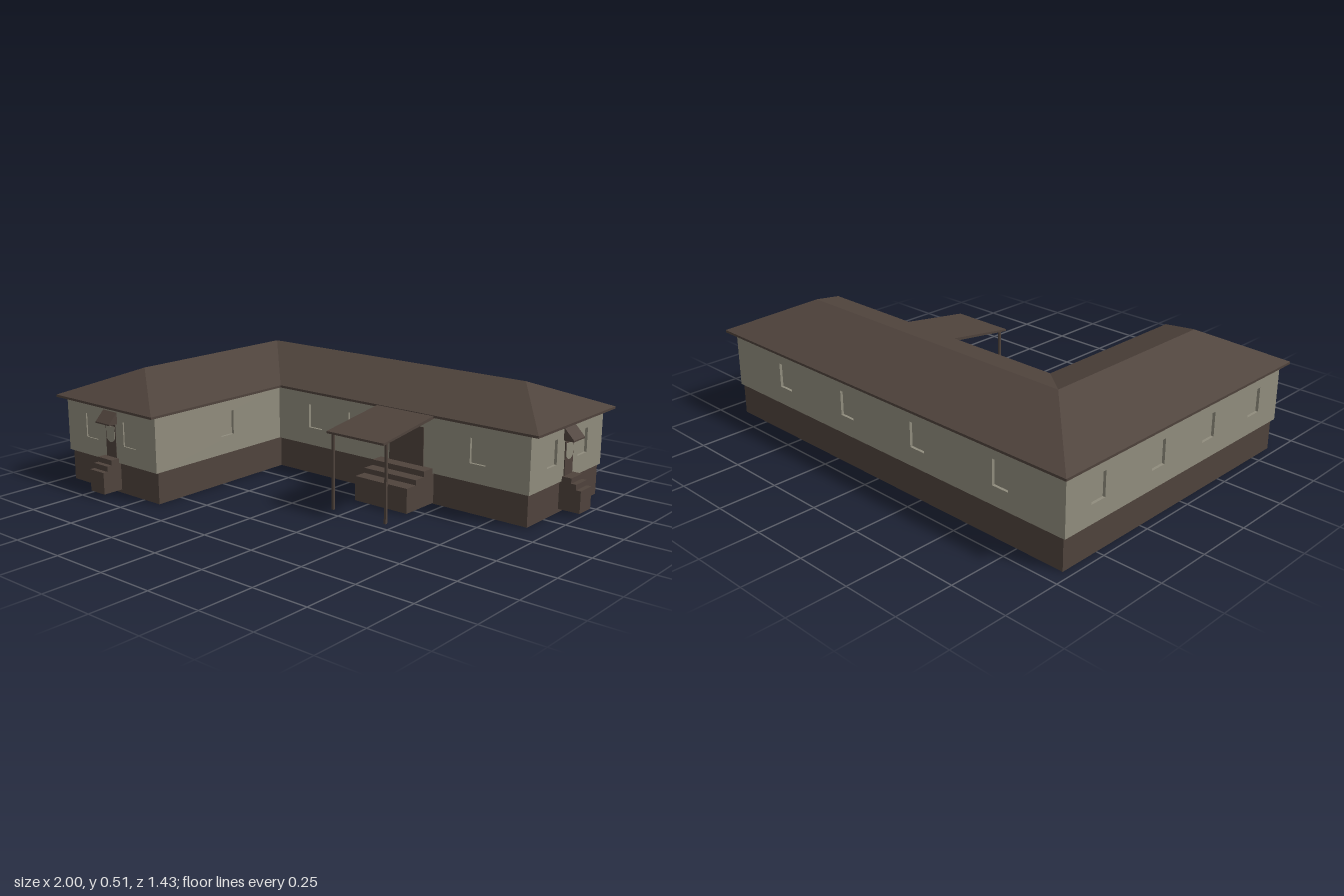
import * as THREE from 'three';

const mat = (name, color) => Object.assign(new THREE.MeshStandardMaterial({ color }), { name });

export function createModel() {
  const wallPaint = mat('wall grey', 0x908c7d);
  const brown = mat('dark brown', 0x4f433c);

  const model = new THREE.Group();
  model.name = 'house';

  const add = (parent, name, geometry, material, x = 0, y = 0, z = 0) => {
    const mesh = new THREE.Mesh(geometry, material);
    mesh.name = name;
    mesh.position.set(x, y, z);
    parent.add(mesh);
    return mesh;
  };
  const box = (w, h, d) => new THREE.BoxGeometry(w, h, d);
  const rect = (x0, y0, x1, y1) =>
    [[x0, y0], [x1, y0], [x1, y1], [x0, y1]].map(p => new THREE.Vector2(...p));

  // L-shaped plan: west, inner wing wall, east; back, inner front, wing front
  const plan = (x0, x1, x2, z0, z1, z2) =>
    [[x0, z0], [x0, z2], [x1, z2], [x1, z1], [x2, z1], [x2, z0]].map(p => new THREE.Vector2(...p));

  // One panel per side of a plan; windows are given as x or z along each side
  const panels = (name, corners, bottom, top, t, material, windows = []) => {
    corners.forEach((a, i) => {
      const b = corners[(i + 1) % 6];
      const side = new THREE.Group();
      side.name = name;
      side.position.set(a.x, 0, a.y);
      side.rotation.y = Math.atan2(a.y - b.y, b.x - a.x);
      const shape = new THREE.Shape(rect(0, bottom, a.distanceTo(b), top));
      const recess = i === 1 ? 0.006 : 0.012;
      for (const c of windows[i] ?? []) {
        const u = Math.abs(c - (a.x === b.x ? a.y : a.x));
        shape.holes.push(new THREE.Path(rect(u - 0.038, 0.214, u + 0.038, 0.32).reverse()));
        add(side, 'window', box(0.076, 0.106, 0.006), wallPaint, u, 0.267, -recess - 0.003);
      }
      add(side, name + 'Panel', new THREE.ExtrudeGeometry(shape, { depth: t, bevelEnabled: false }),
        material, 0, 0, -t);
      model.add(side);
    });
  };

  panels('foundation', plan(-0.965, -0.407, 0.9, -0.68, -0.124, 0.62), 0, 0.137, 0.012, brown);
  panels('wall', plan(-0.977, -0.405, 0.91, -0.687, -0.113, 0.63), 0.135, 0.377, 0.024, wallPaint, [
    [-0.514, -0.172, 0.143, 0.456],
    [-0.815, -0.57],
    [0.22],
    [-0.188, 0.04, 0.67],
    [-0.278, -0.523],
    [0.57, 0.167, -0.243, -0.674],
  ]);

  // Hipped roof with a fascia and flat underside
  const eaves = plan(-1, -0.38, 0.95, -0.715, -0.095, 0.67);
  const low = eaves.map(p => [p.x, 0.376, p.y]);
  const up = eaves.map(p => [p.x, 0.386, p.y]);
  const [wingEnd, corner, mainEnd] = [[-0.69, 0.51, 0.43], [-0.69, 0.51, -0.405], [0.7, 0.51, -0.405]];
  const faces = [
    [up[0], up[1], wingEnd, corner], [up[1], up[2], wingEnd], [up[2], up[3], corner, wingEnd],
    [up[3], up[4], mainEnd, corner], [up[4], up[5], mainEnd], [up[5], up[0], corner, mainEnd],
    [low[3], low[2], low[1], low[0], low[5], low[4]],
  ];
  for (let i = 0; i < 6; i++) {
    const j = (i + 1) % 6;
    faces.push([low[i], low[j], up[j], up[i]]);
  }
  const verts = [];
  for (const f of faces)
    for (let i = 1; i < f.length - 1; i++) verts.push(...f[0], ...f[i], ...f[i + 1]);
  const roof = new THREE.BufferGeometry();
  roof.setAttribute('position', new THREE.Float32BufferAttribute(verts, 3));
  roof.computeVertexNormals();
  add(model, 'roof', roof, brown);

  // Side profile in (z, y), extruded across x and centred
  const prism = (points, width) =>
    new THREE.ExtrudeGeometry(new THREE.Shape(points.map(p => new THREE.Vector2(...p))),
      { depth: width, bevelEnabled: false }).rotateY(-Math.PI / 2).translate(width / 2, 0, 0);

  // Small entrance facing +z: steps, door with a round-bottomed pane, awning
  const entrance = (name, x, z, turn) => {
    const g = new THREE.Group();
    g.name = name;
    add(g, 'steps', prism([[-0.02, 0.015], [0.087, 0.015], [0.087, 0.11], [0.065, 0.11],
      [0.065, 0.133], [0.042, 0.133], [0.042, 0.155], [-0.02, 0.155]], 0.088), brown);
    add(g, 'door', box(0.064, 0.145, 0.032), brown, 0, 0.2275, -0.013);
    const pane = new THREE.Shape();
    pane.moveTo(-0.027, 0.29).lineTo(-0.027, 0.236);
    pane.quadraticCurveTo(0, 0.204, 0.027, 0.236);
    pane.lineTo(0.027, 0.29);
    add(g, 'doorPane', new THREE.ExtrudeGeometry(pane, { depth: 0.002, bevelEnabled: false }),
      wallPaint, 0, 0, 0.003);
    add(g, 'awning', prism([[-0.01, 0.305], [0.045, 0.305], [0.045, 0.311], [0, 0.357], [-0.01, 0.357]], 0.088),
      brown);
    g.position.set(x, 0, z);
    g.rotation.y = turn;
    model.add(g);
  };
  entrance('wingEntrance', -0.689, 0.628, 0);
  entrance('sideEntrance', 0.911, -0.408, Math.PI / 2);

  // Main porch: wide steps, double door, lean-to roof on two thin posts
  const porch = new THREE.Group();
  porch.name = 'porch';
  porch.position.x = 0.317;
  add(porch, 'porchSteps', prism([[-0.13, 0.004], [0.06, 0.004], [0.06, 0.11], [0, 0.11],
    [0, 0.132], [-0.055, 0.132], [-0.055, 0.156], [-0.13, 0.156]], 0.268), brown);
  add(porch, 'mainDoor', box(0.176, 0.167, 0.032), brown, 0, 0.2395, -0.126);
  add(porch, 'porchRoof', prism([[-0.113, 0.373], [0.23, 0.328], [0.23, 0.337], [-0.1, 0.384], [-0.113, 0.384]], 0.29),
    brown);
  for (const s of [-1, 1]) add(porch, 'post', box(0.01, 0.335, 0.01), brown, s * 0.135, 0.1675, 0.199);
  model.add(porch);

  return model;
}
